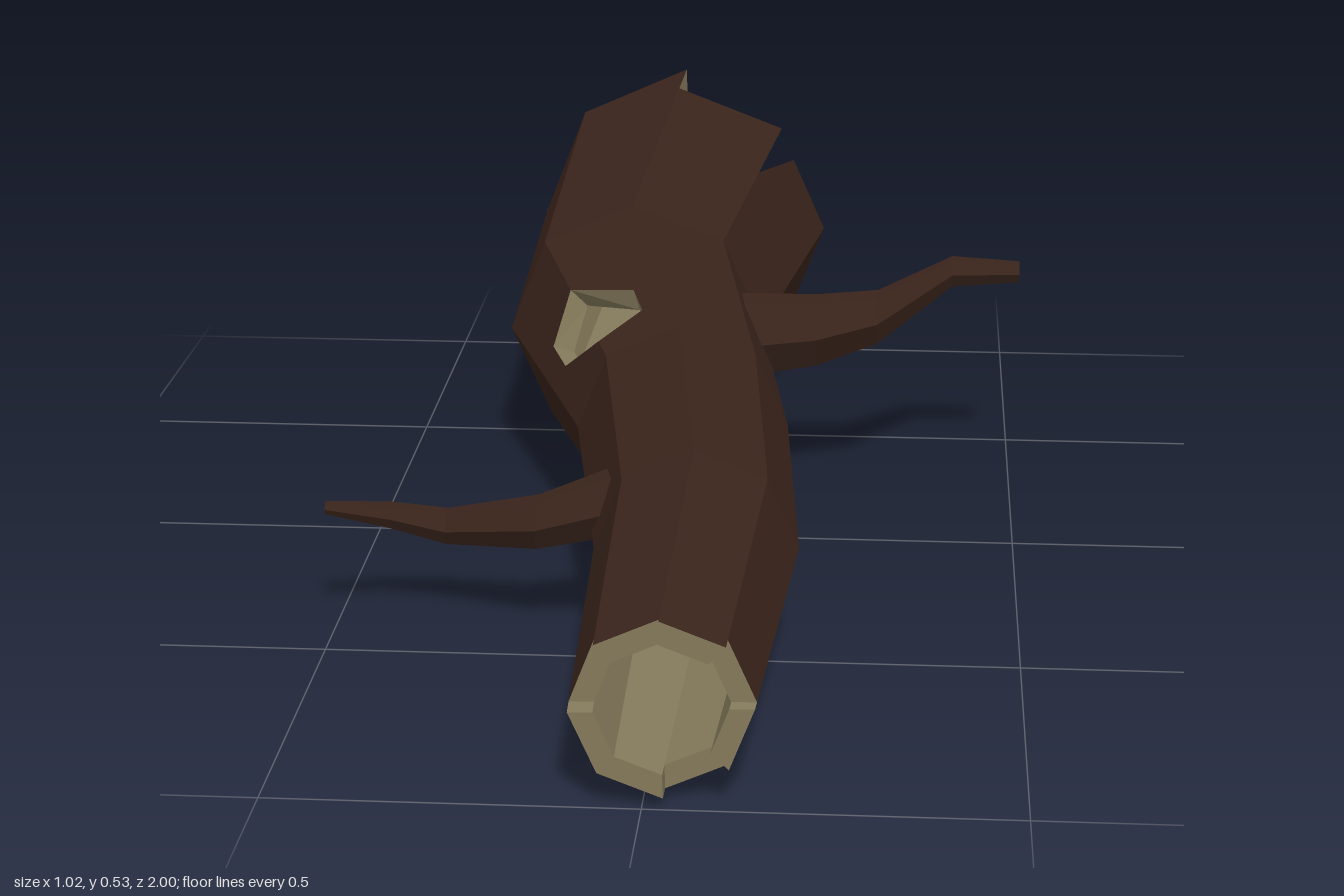
import * as THREE from 'three';

const bark = new THREE.MeshStandardMaterial({ color: 0x3a241b, flatShading: true, side: THREE.DoubleSide });
const wood = new THREE.MeshStandardMaterial({ color: 0x857a5b, flatShading: true });
const rimWood = new THREE.MeshStandardMaterial({ color: 0x857a5b, flatShading: true, side: THREE.DoubleSide });

// Trunk cross-sections, front to back: z, centre x, centre y, radius, wall thickness
const RINGS = [
  [1.0, 0.025, 0.14, 0.12, 0.033],
  [0.5, 0.037, 0.175, 0.146, 0.035],
  [0.05, -0.015, 0.203, 0.163, 0.036],
  [-0.38, -0.123, 0.23, 0.21, 0.038],
  [-1.0, -0.073, 0.272, 0.268, 0.04],
];
const SIDES = 8;
// Where each of the eight trunk panels breaks off, front and back
const FRONT = [0.97, 0.99, 0.985, 0.97, 1.0, 1.0, 0.97, 0.99];
const BACK = [-0.88, -0.89, -0.98, -0.98, -1.0, -1.0, -0.89, -0.88];
const CRACK = [[1, -0.68], [0.7, -0.88]];
// Knot hole outline as [panel position, z], straddling the edge at 3
const HOLE = [[3, 0.0], [3.65, -0.09], [3.65, -0.17], [3, -0.19], [2.35, -0.11], [2.35, -0.04]];

// Point on the outer (or inner) trunk surface at panel position u and depth z
function trunkPoint([u, z], inner) {
  let i = 0;
  while (i < RINGS.length - 2 && z < RINGS[i + 1][0]) i++;
  const a = RINGS[i], b = RINGS[i + 1];
  const t = (z - a[0]) / (b[0] - a[0]);
  const [, cx, cy, r, wall] = a.map((v, j) => v + (b[j] - v) * t);
  const rad = inner ? r - wall : r;
  const corner = (k) => {
    const ang = (k * 2 * Math.PI) / SIDES + 0.025;
    return new THREE.Vector3(cx + rad * Math.cos(ang), cy + rad * Math.sin(ang), z);
  };
  const k = Math.floor(u);
  return corner(k).lerp(corner(k + 1), u - k);
}

function makeMesh(points, material, name) {
  const geo = new THREE.BufferGeometry().setFromPoints(points);
  geo.computeVertexNormals();
  const mesh = new THREE.Mesh(geo, material);
  mesh.name = name;
  return mesh;
}

// Flat outlines of all trunk panels in (u, z)
function panelOutlines() {
  const list = [];
  for (let k = 0; k < SIDES; k++) {
    const zs = [FRONT[k], 0.5, 0.05, -0.38, BACK[k]];
    for (let s = 0; s < 4; s++) {
      const a = zs[s], b = zs[s + 1];
      if (s === 2 && k === 2) {
        list.push([[2, a], [3, a], HOLE[0], HOLE[5], HOLE[4], HOLE[3], [3, b], [2, b]]);
      } else if (s === 2 && k === 3) {
        list.push([[4, a], [3, a], HOLE[0], HOLE[1], HOLE[2], HOLE[3], [3, b], [4, b]]);
      } else if (s === 3 && k === 0) {
        list.push([[0, a], [1, a], ...CRACK, [0, b]]);
      } else {
        list.push([[k, a], [k + 1, a], [k + 1, b], [k, b]]);
      }
    }
  }
  return list;
}

function buildTrunk() {
  const outer = [], inner = [], rim = [];
  for (const outline of panelOutlines()) {
    const flat = outline.map(([u, z]) => new THREE.Vector2(u, z));
    for (const tri of THREE.ShapeUtils.triangulateShape(flat, [])) {
      const area = THREE.ShapeUtils.area(tri.map((i) => flat[i]));
      const c = (area > 0 ? tri : [...tri].reverse()).map((i) => outline[i]);
      outer.push(...c.map((p) => trunkPoint(p, false)));
      inner.push(...[c[0], c[2], c[1]].map((p) => trunkPoint(p, true)));
    }
  }
  // Bare wood joining the outer and inner skins along each broken edge
  const frontEdge = FRONT.flatMap((z, k) => [[k, z], [k + 1, z]]);
  const backEdge = BACK.flatMap((z, k) =>
    k === 0 ? [[0, z], CRACK[1], CRACK[0]] : [[k, z], [k + 1, z]]);
  for (const loop of [frontEdge, backEdge, HOLE]) {
    loop.forEach((p, i) => {
      const q = loop[(i + 1) % loop.length];
      const [a, b, c, d] = [trunkPoint(p, false), trunkPoint(q, false), trunkPoint(q, true), trunkPoint(p, true)];
      if (a.distanceTo(b) > 1e-4) rim.push(a, b, c, a, c, d);
    });
  }
  const trunk = new THREE.Group();
  trunk.name = 'trunk';
  trunk.add(
    makeMesh(outer, bark, 'outerBark'),
    makeMesh(inner, wood, 'hollowInside'),
    makeMesh(rim, rimWood, 'brokenEdges'),
  );
  return trunk;
}

// Six-sided tapering branch through stations of x, y, z, radius
function buildBranch(stations, name) {
  const n = 6, pts = [];
  const dir = Math.sign(stations[1][0] - stations[0][0]);
  const at = ([x, y, z, r], k) => {
    const ang = (dir * k * 2 * Math.PI) / n + Math.PI / 6;
    return new THREE.Vector3(x, y + r * Math.cos(ang), z + r * Math.sin(ang));
  };
  const tip = stations[stations.length - 1];
  for (let k = 0; k < n; k++) {
    for (let s = 0; s < stations.length - 1; s++) {
      const a = at(stations[s], k), b = at(stations[s], k + 1);
      const c = at(stations[s + 1], k + 1), d = at(stations[s + 1], k);
      pts.push(a, b, c, a, c, d);
    }
    pts.push(new THREE.Vector3(...tip.slice(0, 3)), at(tip, k), at(tip, k + 1));
  }
  return makeMesh(pts, bark, name);
}

export function createModel() {
  const log = new THREE.Group();
  log.name = 'hollowLog';
  log.add(buildTrunk());
  log.add(buildBranch([
    [0.06, 0.265, -0.235, 0.07],
    [0.18, 0.265, -0.27, 0.06],
    [0.28, 0.288, -0.275, 0.045],
    [0.4, 0.34, -0.37, 0.026],
    [0.51, 0.34, -0.375, 0.018],
  ], 'leftBranch'));
  log.add(buildBranch([
    [-0.09, 0.207, 0.405, 0.052],
    [-0.2, 0.175, 0.41, 0.04],
    [-0.34, 0.145, 0.357, 0.027],
    [-0.42, 0.163, 0.365, 0.02],
    [-0.51, 0.187, 0.405, 0.01],
  ], 'rightBranch'));
  return log;
}
